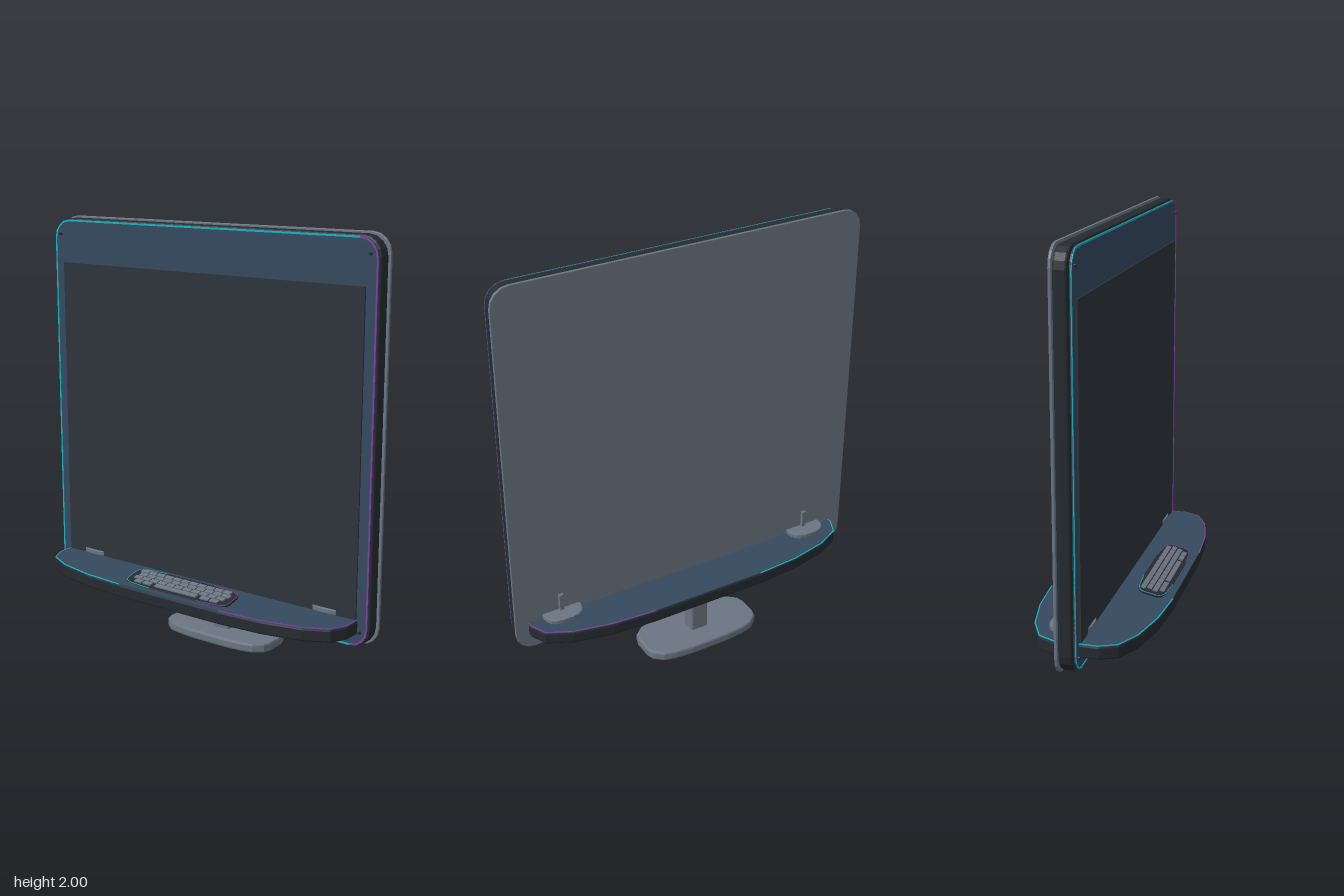
import * as THREE from 'three';
import { mergeGeometries } from 'three/addons/utils/BufferGeometryUtils.js';

const material = (name, color, side = THREE.FrontSide) => {
  const m = new THREE.MeshStandardMaterial({ color, side });
  m.name = name;
  return m;
};

// Mirror a quarter outline (right side towards the middle) into a closed loop
function mirrorQuarter(q) {
  const back = [...q].reverse();
  return [
    ...q,
    ...back.map(([x, y]) => [-x, y]),
    ...q.map(([x, y]) => [-x, -y]),
    ...back.map(([x, y]) => [x, -y]),
  ];
}

// Rounded rectangle loop centred on the origin
function roundedRect(hx, hy, r, steps = 4) {
  const q = [];
  for (let i = 0; i <= steps; i++) {
    const a = (i / steps) * Math.PI / 2;
    q.push([hx - r + r * Math.cos(a), hy - r + r * Math.sin(a)]);
  }
  return mirrorQuarter(q);
}

const superQuarter = (hx, hy, n, steps) => Array.from({ length: steps }, (_, i) => {
  const a = ((i + 0.5) / steps) * Math.PI / 2;
  return [hx * Math.cos(a) ** (2 / n), hy * Math.sin(a) ** (2 / n)];
});

// Solid plate from z = 0 to z = depth with bevelled edges
function plate(points, depth, bevel = 0) {
  const shape = new THREE.Shape(points.map(([x, y]) => new THREE.Vector2(x, y)));
  const g = new THREE.ExtrudeGeometry(shape, {
    depth: depth - 2 * bevel, bevelEnabled: bevel > 0,
    bevelThickness: bevel, bevelSize: bevel, bevelOffset: -bevel, bevelSegments: 2,
  });
  return g.translate(0, 0, bevel);
}
const slab = (points, depth, bevel) => plate(points, depth, bevel).rotateX(-Math.PI / 2);

// Thin trim following part of a loop; keep() chooses segments by their middle x
function trim(points, width, keep) {
  const parts = [];
  points.forEach(([x, y], i) => {
    const [u, v] = points[(i + 1) % points.length];
    const len = Math.hypot(u - x, v - y);
    if (len < 1e-5 || !keep((x + u) / 2)) return;
    const g = new THREE.BoxGeometry(len + width * 0.4, width, 0.004);
    g.rotateZ(Math.atan2(v - y, u - x)).translate((x + u) / 2, (y + v) / 2, 0);
    parts.push(g);
  });
  return mergeGeometries(parts);
}

export function createModel() {
  const root = new THREE.Group();
  root.name = 'displayDesk';
  const grey = material('metalGrey', 0x6b7582);
  const dark = material('frameDark', 0x252b30);
  const blue = material('panelBlue', 0x34495e);
  const screenMat = material('screenCharcoal', 0x2d343a);
  const cyan = material('cyanTrim', 0x12b5c4);
  const purple = material('purpleTrim', 0x7d3fa0);

  const add = (name, geometry, mat, x = 0, y = 0, z = 0, parent = root) => {
    const mesh = new THREE.Mesh(geometry, mat);
    mesh.name = name;
    mesh.position.set(x, y, z);
    parent.add(mesh);
    return mesh;
  };

  // Upright display: back plate, frame, front panel, screen
  const cy = 1.095;
  add('backPlate', plate(roundedRect(0.905, 0.905, 0.09), 0.014, 0.003), grey, 0, cy, -0.068);
  add('displayFrame', plate(roundedRect(0.896, 0.896, 0.09), 0.062, 0.01), dark, 0, cy, -0.055);
  add('frontPanel', plate(roundedRect(0.89, 0.89, 0.085), 0.006), blue, 0, cy, 0.014);
  add('panelMount', plate(roundedRect(0.84, 0.84, 0.06), 0.009), dark, 0, cy, 0.006);
  add('screen', new THREE.BoxGeometry(1.67, 1.5, 0.008), screenMat, 0, 1.03, 0.025);

  // Glowing trim round the display
  const rim = roundedRect(0.886, 0.886, 0.085);
  add('displayTrimRight', trim(rim, 0.008, x => x < 0.8), cyan, 0, cy, 0.021);
  add('displayTrimLeft', trim(rim, 0.008, x => x >= 0.8), purple, 0, cy, 0.021);
  for (const sx of [-1, 1]) for (const sy of [-1, 1]) {
    add('cornerStud', new THREE.CylinderGeometry(0.006, 0.006, 0.012, 8).rotateX(Math.PI / 2),
      dark, sx * 0.855, cy + sy * 0.82, 0.026);
  }

  // Desk running through the display
  const deskLoop = mirrorQuarter([[0.84, 0.098], [0.803, 0.175], [0.69, 0.232], [0.505, 0.272], [0.29, 0.288]]);
  add('deskBody', slab(deskLoop, 0.062, 0.009), dark, 0, 0.264, 0.007);
  add('deskTop', slab(deskLoop.map(([x, y]) => [x * 0.995, y * 0.99]), 0.007), blue, 0, 0.323, 0.007);
  const edge = deskLoop.map(([x, y]) => [x * 0.997, y * 0.994]);
  const deskTrim = (name, keep, mat) =>
    add(name, trim(edge, 0.005, keep).rotateX(-Math.PI / 2), mat, 0, 0.329, 0.007);
  deskTrim('deskTrimRight', x => x < -0.1, cyan);
  deskTrim('deskTrimLeft', x => x > 0.1, purple);

  // Brackets joining desk and display
  for (const s of [-1, 1]) {
    add('bracketFoot', slab(mirrorQuarter(superQuarter(0.096, 0.095, 3, 5)), 0.024, 0.004),
      grey, s * 0.675, 0.33, -0.056);
    add('bracketPost', new THREE.BoxGeometry(0.022, 0.09, 0.016), grey, s * 0.675, 0.392, -0.076);
  }

  // Stand
  const baseLoop = mirrorQuarter([[0.3, 0.045], [0.288, 0.082], [0.245, 0.118], [0.19, 0.132], [0.1, 0.141]]);
  add('standBase', slab(baseLoop, 0.046, 0.01), grey, 0, 0.003, -0.156);
  add('standFoot', slab(baseLoop.map(([x, y]) => [x * 0.9, y * 0.88]), 0.005), grey, 0, 0, -0.156);
  add('standPost', slab(roundedRect(0.045, 0.036, 0.01, 2), 0.175, 0.004), grey, 0, 0.046, -0.155);

  // Tilted keyboard
  const keyboard = new THREE.Group();
  keyboard.name = 'keyboard';
  keyboard.position.set(0, 0.342, 0.188);
  keyboard.rotation.x = 0.22;
  root.add(keyboard);
  const boardLoop = mirrorQuarter([[0.297, 0.03], [0.288, 0.052], [0.255, 0.064], [0.14, 0.073]]);
  add('keyboardBody', slab(boardLoop, 0.011, 0.003), dark, 0, -0.005, 0, keyboard);
  const boardEdge = boardLoop.map(([x, y]) => [x * 0.99, y * 0.97]);
  const boardTrim = (name, keep, mat) =>
    add(name, trim(boardEdge, 0.003, keep).rotateX(-Math.PI / 2), mat, 0, 0.005, 0, keyboard);
  boardTrim('keyboardTrimRight', x => x < -0.18, cyan);
  boardTrim('keyboardTrimLeft', x => x > 0.18, purple);

  // Keys: three even rows and a bottom row with a space bar
  const keys = [];
  const key = (x, row, w) =>
    keys.push(new THREE.BoxGeometry(w, 0.008, 0.022).translate(x, 0.008, -0.042 + row * 0.028));
  [[11, -0.005], [11, 0.008], [11, -0.002]].forEach(([count, shift], row) => {
    for (let i = 0; i < count; i++) key((i - (count - 1) / 2) * 0.048 + shift, row, 0.042);
  });
  for (const s of [-1, 1]) {
    key(s * 0.22, 3, 0.042);
    key(s * 0.167, 3, 0.046);
  }
  key(0, 3, 0.24);
  add('keys', mergeGeometries(keys), grey, 0, 0, 0, keyboard);
  add('keyboardRiser', new THREE.BoxGeometry(0.3, 0.028, 0.008), dark, 0, 0.341, 0.126);

  return root;
}
